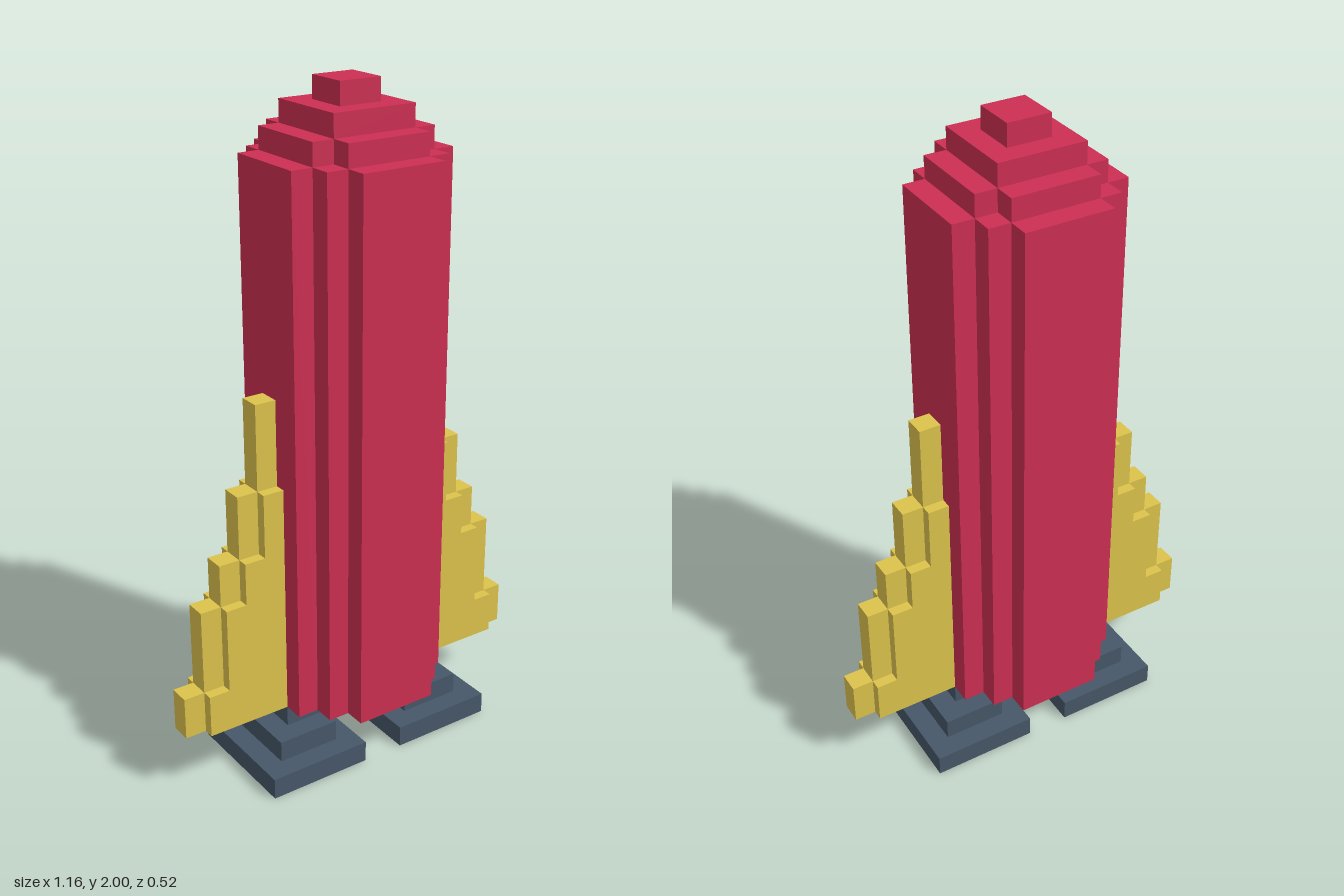
import * as THREE from 'three';

const U = 2 / 31; // one block

const red = new THREE.MeshStandardMaterial({ color: 0xcc2f52 });
const yellow = new THREE.MeshStandardMaterial({ color: 0xdcc24c });
const slate = new THREE.MeshStandardMaterial({ color: 0x465768 });

// Box from its corner limits, in blocks
function block(name, mat, [x0, x1], [y0, y1], [z0, z1]) {
  const geo = new THREE.BoxGeometry((x1 - x0) * U, (y1 - y0) * U, (z1 - z0) * U);
  const mesh = new THREE.Mesh(geo, mat);
  mesh.position.set((x0 + x1) / 2 * U, (y0 + y1) / 2 * U, (z0 + z1) / 2 * U);
  mesh.name = name;
  return mesh;
}

// Upright prism with a stepped outline; the corners describe one quadrant
function steppedPrism(name, quadrant, y0, y1) {
  const back = [...quadrant].reverse();
  const outline = [
    ...quadrant,
    ...back.map(([x, z]) => [-x, z]),
    ...quadrant.map(([x, z]) => [-x, -z]),
    ...back.map(([x, z]) => [x, -z]),
  ].map(([x, z]) => new THREE.Vector2(x * U, z * U));
  const geo = new THREE.ExtrudeGeometry(new THREE.Shape(outline), { depth: (y1 - y0) * U, bevelEnabled: false });
  geo.rotateX(-Math.PI / 2).translate(0, y0 * U, 0);
  const mesh = new THREE.Mesh(geo, red);
  mesh.name = name;
  return mesh;
}

// Fin: thick core columns with a thin rim one step further out
function fin(side) {
  const group = new THREE.Group();
  group.name = side > 0 ? 'leftFin' : 'rightFin';
  const tops = [18, 14, 11, 9, 5, 3];
  for (let i = 0; i < 5; i++) {
    const x = side > 0 ? [4 + i, 5 + i] : [-5 - i, -4 - i];
    if (i < 4) group.add(block('finCore', yellow, x, [3, tops[i + 1]], [-1, 1]));
    group.add(block('finRim', yellow, x, [tops[i + 1], tops[i]], [-0.5, 0.5]));
  }
  return group;
}

// Foot: three stacked plates
function foot(side) {
  const group = new THREE.Group();
  group.name = side > 0 ? 'leftFoot' : 'rightFoot';
  const plates = [['footBase', 1, 6, 3], ['footStep', 2, 5, 2], ['ankle', 2, 4, 1]];
  plates.forEach(([name, a, b, d], y) => {
    group.add(block(name, slate, side > 0 ? [a, b] : [-b, -a], [y, y + 1], [-d, d]));
  });
  return group;
}

export function createModel() {
  const model = new THREE.Group();
  model.name = 'rocket';

  // Hull and stepped nose
  model.add(steppedPrism('hull', [[4, 2], [3, 2], [3, 3], [2, 3], [2, 4]], 3, 28));
  model.add(steppedPrism('noseBase', [[3, 2], [2, 2], [2, 3]], 28, 29));
  model.add(block('noseMiddle', red, [-2, 2], [29, 30], [-2, 2]));
  model.add(block('noseTip', red, [-1, 1], [30, 31], [-1, 1]));

  for (const side of [1, -1]) model.add(fin(side), foot(side));
  return model;
}
